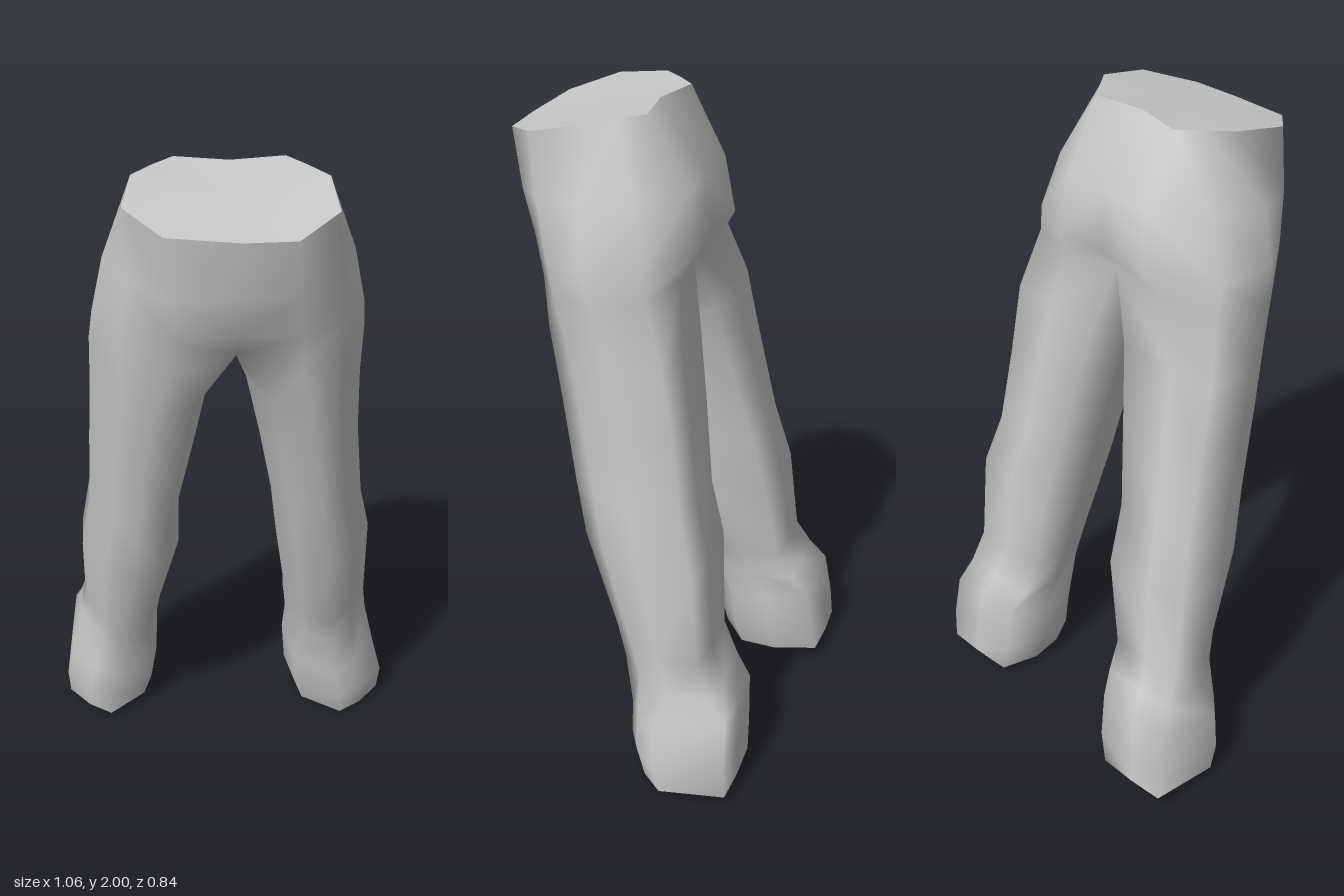
import * as THREE from 'three';
import { mergeVertices } from 'three/addons/utils/BufferGeometryUtils.js';

// Half rings of the hips, front centre to back centre: [x, y, z], x outward
const waistY = (z) => 2 - 0.08 * (z / 0.42) ** 2;
const waist = {
  1: [[0, 0.418], [0.145, 0.418], [0.265, 0.315], [0.26, 0.15], [0.205, 0.08], [0.155, 0.015], [0, 0.035]],
  [-1]: [[0, 0.418], [0.2, 0.39], [0.3, 0.27], [0.27, 0.11], [0.21, 0.05], [0.15, -0.005], [0, 0.035]],
};
const hips = [
  [[0, 1.75, 0.385], [0.165, 1.75, 0.385], [0.28, 1.77, 0.295], [0.335, 1.78, 0.15], [0.29, 1.79, 0], [0.15, 1.8, -0.105], [0, 1.8, -0.1]],
  [[0, 1.61, 0.325], [0.17, 1.62, 0.35], [0.298, 1.62, 0.265], [0.367, 1.62, 0.14], [0.338, 1.62, -0.035], [0.16, 1.63, -0.135], [0, 1.63, -0.125]],
  // crotch ring, closed by a shared inner point
  [[0, 1.52, 0.25], [0.175, 1.5, 0.327], [0.3, 1.5, 0.245], [0.378, 1.52, 0.1], [0.34, 1.54, -0.04], [0.18, 1.55, -0.09], [0, 1.555, -0.065], [0, 1.49, 0.11]],
];

// Cross-section outlines, u outward and v forward
const legShape = [[-0.68, 0.7], [0, 1], [0.54, 0.56], [1, -0.15], [0.98, -0.96], [0.1, -1], [-0.95, -0.98], [-1, -0.1]];
const footShape = [[-0.85, 0.5], [0, 1], [0.52, 0.74], [1, 0.3], [0.88, -0.97], [0.1, -1], [-0.8, -0.97], [-1, -0.2]];

// Leg rings: [front y, inner x, outer x, front z, back z, rise to the back]
const legRings = {
  1: [
    [1.36, 0.045, 0.378, 0.3, -0.11, 0],
    [1.15, 0.09, 0.387, 0.255, -0.145, 0],
    [0.9, 0.137, 0.413, 0.203, -0.18, 0],
    [0.74, 0.155, 0.45, 0.165, -0.225, 0],
    [0.45, 0.197, 0.457, 0.06, -0.245, 0],
    [0.35, 0.205, 0.472, 0.03, -0.29, 0],
    [0.19, 0.2, 0.5, 0.005, -0.34, 0.28],
    [0.09, 0.21, 0.53, 0, -0.345, 0.12],
    [0, 0.24, 0.525, -0.03, -0.35, 0.1],
  ],
  [-1]: [
    [1.35, 0.065, 0.405, 0.3, -0.115, 0],
    [1.15, 0.1, 0.415, 0.25, -0.155, 0],
    [0.88, 0.152, 0.425, 0.18, -0.215, 0],
    [0.69, 0.152, 0.455, 0.13, -0.265, 0],
    [0.43, 0.213, 0.455, 0.01, -0.295, 0],
    [0.35, 0.222, 0.475, -0.02, -0.34, 0],
    [0.19, 0.222, 0.51, -0.045, -0.39, 0.28],
    [0.1, 0.227, 0.53, -0.05, -0.41, 0.12],
    [0.015, 0.255, 0.525, -0.07, -0.42, 0.1],
  ],
};

function legRing([y, x0, x1, zf, zb, rise], shape) {
  return shape.map(([u, v]) => {
    const z = (zf + zb) / 2 + (v * (zf - zb)) / 2;
    return [(x0 + x1) / 2 + (u * (x1 - x0)) / 2, y + rise * (zf - z), z];
  });
}

// All rings of one side, from the waist to the sole
function sideRings(side) {
  const widen = side < 0 ? 1.06 : 1;
  const rings = [waist[side].map(([x, z]) => [x, waistY(z), z])];
  hips.forEach((r) => rings.push(r.map(([x, y, z]) => [x * widen, y, z])));
  legRings[side].forEach((r, i) => rings.push(legRing(r, i > 5 ? footShape : legShape)));
  return rings.map((r) => r.map(([x, y, z]) => [x * side, y, z]));
}

function makeGeometry(triangles) {
  const g = new THREE.BufferGeometry();
  g.setAttribute('position', new THREE.Float32BufferAttribute(triangles.flat(2), 3));
  const merged = mergeVertices(g, 1e-4);
  merged.computeVertexNormals();
  return merged;
}

export function createModel() {
  const group = new THREE.Group();
  const grey = new THREE.MeshStandardMaterial({ color: 0xc8c8c8 });
  grey.name = 'grey cloth';
  const skin = [];
  const waistCap = [];
  const add = (list, side, a, b, c) => list.push(side > 0 ? [a, b, c] : [a, c, b]);
  const addMesh = (name, triangles) => {
    const mesh = new THREE.Mesh(makeGeometry(triangles), grey);
    mesh.name = name;
    group.add(mesh);
  };

  for (const side of [1, -1]) {
    const rings = sideRings(side);
    // Outer skin: open half rings at the hips, closed rings on the leg
    for (let k = 0; k < rings.length - 1; k++) {
      const top = rings[k];
      const low = rings[k + 1];
      const count = top.length === 8 ? 8 : 6;
      for (let i = 0; i < count; i++) {
        const j = (i + 1) % 8;
        add(skin, side, low[i], low[j], top[j]);
        add(skin, side, low[i], top[j], top[i]);
      }
    }
    // Flat waist
    const centre = [0, 1.965, 0.2];
    for (let i = 0; i < 6; i++) add(waistCap, side, centre, rings[0][i], rings[0][i + 1]);
    // Flat sole
    const sole = [];
    const last = rings[rings.length - 1];
    const mid = [0, 1, 2].map((a) => last.reduce((s, p) => s + p[a], 0) / 8);
    for (let i = 0; i < 8; i++) add(sole, side, mid, last[(i + 1) % 8], last[i]);
    addMesh(side > 0 ? 'leftSole' : 'rightSole', sole);
  }
  addMesh('hipsAndLegs', skin);
  addMesh('waistCap', waistCap);
  return group;
}
